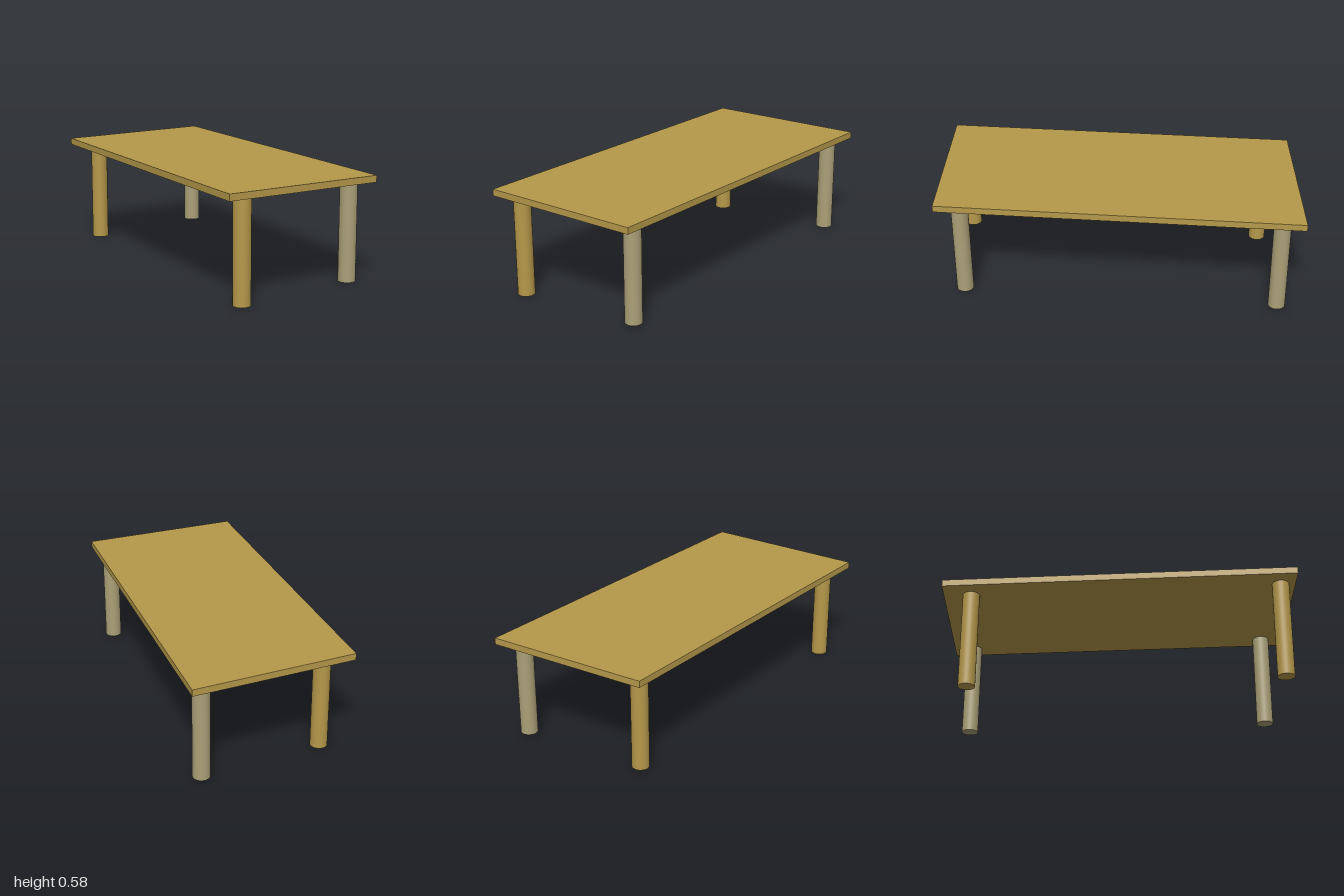
import * as THREE from 'three';

const UNDERSIDE = 0.545, TOP = 0.581, LEG_RADIUS = 0.046;

export function createModel() {
  const table = new THREE.Group();
  table.name = 'table';
  const wood = new THREE.MeshStandardMaterial({ color: 0xb5984a });
  const paleWood = new THREE.MeshStandardMaterial({ color: 0xaba078 });

  // Slanted four-sided top: corners as (x, z), laid flat
  const corners = [[-0.443, 1], [0.443, 0.947], [0.443, -1], [-0.443, -0.91]];
  const outline = new THREE.Shape(corners.map(([x, z]) => new THREE.Vector2(x, -z)));
  const slab = new THREE.ExtrudeGeometry(outline, { depth: TOP - UNDERSIDE, bevelEnabled: false });
  slab.rotateX(-Math.PI / 2);
  const tabletop = new THREE.Mesh(slab, wood);
  tabletop.name = 'tabletop';
  tabletop.position.y = UNDERSIDE;
  table.add(tabletop);

  // Round legs; the pale pair is slightly shorter
  const addLeg = (name, x, z, foot, material) => {
    const height = UNDERSIDE - foot;
    const leg = new THREE.Mesh(new THREE.CylinderGeometry(LEG_RADIUS, LEG_RADIUS, height, 32), material);
    leg.name = name;
    leg.position.set(x, foot + height / 2, z);
    table.add(leg);
  };
  addLeg('frontRightLeg', -0.323, 0.912, 0, wood);
  addLeg('backRightLeg', -0.323, -0.77, 0, wood);
  addLeg('frontLeftLeg', 0.359, 0.824, 0.012, paleWood);
  addLeg('backLeftLeg', 0.359, -0.878, 0.012, paleWood);

  return table;
}
